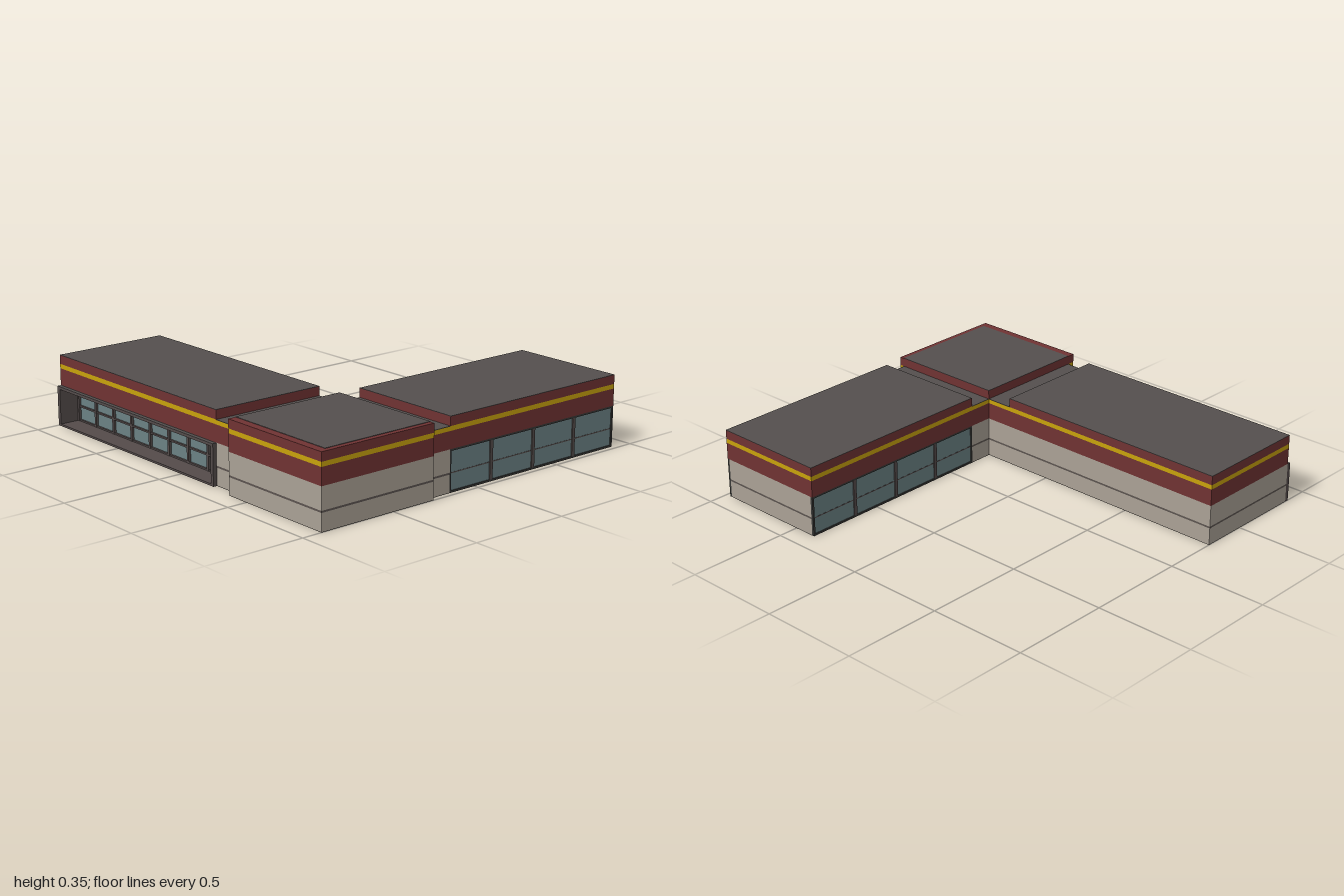
import * as THREE from 'three';

const mat = (color) => new THREE.MeshStandardMaterial({ color });
const M = {
  wall: mat(0xaaa195), seam: mat(0x5c5450), red: mat(0x703333), yellow: mat(0xc8a20c),
  roof: mat(0x544f4e), frame: mat(0x544b4a), trim: mat(0x383836), glass: mat(0x6b8184), base: mat(0x2a2826),
};

// Box given by its limits on each axis
function box(parent, name, m, [x0, x1], [y0, y1], [z0, z1]) {
  const mesh = new THREE.Mesh(new THREE.BoxGeometry(x1 - x0, y1 - y0, z1 - z0), m);
  mesh.position.set((x0 + x1) / 2, (y0 + y1) / 2, (z0 + z1) / 2);
  mesh.name = name;
  parent.add(mesh);
  return mesh;
}

function group(parent, name) {
  const g = new THREE.Group();
  g.name = name;
  parent.add(g);
  return g;
}

const SEAM = [0.085, 0.094], WALL_TOP = 0.2, BAND = [0.283, 0.305], TOP = 0.35;

// Masonry with one dark horizontal joint
function walls(g, x, z) {
  box(g, 'lowerWall', M.wall, x, [0.002, SEAM[0]], z);
  box(g, 'wallJoint', M.seam, x, SEAM, z);
  box(g, 'upperWall', M.wall, x, [SEAM[1], WALL_TOP], z);
}

// Red fascia with yellow stripe; the parapet is left off the low links
function fascia(g, x, z, high, roofX = x, roofZ = z) {
  const top = high ? TOP : BAND[1];
  box(g, 'fascia', M.red, x, [WALL_TOP, BAND[0]], z);
  box(g, 'stripe', M.yellow, x, [BAND[0], BAND[1] - (high ? 0 : 0.002)], z);
  if (high) box(g, 'parapet', M.red, x, [BAND[1], top - 0.002], z);
  box(g, 'roof', M.roof, roofX, [top - 0.002, top], roofZ);
}

function floor(g, x, z, m = M.base) {
  box(g, 'floor', m, x, [0, 0.002], z);
}

export function createModel() {
  const model = new THREE.Group();
  model.name = 'lShapedBuilding';

  // Corner block, its roof inset from the outer cladding
  const corner = group(model, 'cornerBlock');
  const cx = [0.38, 1], cz = [0.27, 0.9];
  walls(corner, cx, cz);
  fascia(corner, cx, cz, true, [0.38, 0.975], [0.27, 0.86]);
  floor(corner, cx, cz);

  // Low links between the corner and both wings
  for (const [name, x, z] of [
    ['frontLink', [0.24, 0.38], [0.27, 0.86]],
    ['rearLink', [0.38, 0.975], [0.15, 0.27]],
  ]) {
    const link = group(model, name);
    walls(link, x, z);
    fascia(link, x, z, false);
    floor(link, x, z);
  }

  // Front wing with a recessed shop window
  const front = group(model, 'frontWing');
  const glassZ = 0.77;
  walls(front, [-1, 0.24], [0.27, glassZ - 0.005]);
  walls(front, [-1, -0.99], [glassZ - 0.005, 0.86]);
  fascia(front, [-1, 0.24], [0.27, 0.86], true);
  floor(front, [-0.87, 0.24], [0.27, 0.86]);
  floor(front, [-1, -0.87], [0.27, 0.86], M.frame);

  const shop = group(front, 'shopWindow');
  box(shop, 'glazing', M.glass, [-0.98, 0.222], [0.01, 0.185], [glassZ - 0.005, glassZ]);
  box(shop, 'recessFloor', M.frame, [-0.99, 0.24], [0.002, 0.01], [glassZ - 0.005, 0.86]);
  box(shop, 'recessCeiling', M.frame, [-0.99, 0.24], [0.185, WALL_TOP], [glassZ - 0.005, 0.86]);
  box(shop, 'leftJamb', M.frame, [-0.99, -0.98], [0.01, 0.185], [glassZ - 0.005, 0.86]);
  box(shop, 'rightJamb', M.frame, [0.222, 0.24], [0.01, 0.185], [glassZ - 0.005, 0.86]);
  for (let i = 0; i <= 8; i++) {
    const x = -0.975 + i * 0.149;
    box(shop, 'mullion', M.frame, [x - 0.007, x + 0.007], [0.01, 0.185], [glassZ, glassZ + 0.012]);
  }
  for (const y of [0.013, 0.085, 0.181])
    box(shop, 'transom', M.frame, [-0.98, 0.222], [y - 0.004, y + 0.004], [glassZ, glassZ + 0.01]);

  // Projecting surround at the front
  const sz = [0.86, 0.88];
  box(shop, 'surroundSill', M.frame, [-1, 0.24], [0, 0.01], sz);
  box(shop, 'surroundHead', M.frame, [-1, 0.24], [0.184, 0.195], sz);
  for (const x of [[-1, -0.98], [0.222, 0.24]])
    box(shop, 'surroundPost', M.frame, x, [0.01, 0.184], sz);
  // Roof edge cover above the surround
  box(front, 'roofEdge', M.roof, [-1, 0.24], [0.195, 0.198], sz);

  // Rear wing, glazed along both long sides
  const rear = group(model, 'rearWing');
  const rx = [0.38, 0.975], rz = [-0.9, 0.15];
  walls(rear, [0.392, 0.963], [-0.9, 0.15]);
  fascia(rear, rx, rz, true);
  floor(rear, rx, rz);
  for (const [side, x0, x1, gx0, gx1] of [
    ['right', 0.963, 0.975, 0.963, 0.97],
    ['left', 0.38, 0.392, 0.385, 0.392],
  ]) {
    const win = group(rear, side + 'Windows');
    box(win, 'glazing', M.glass, [gx0, gx1], [0.008, 0.192], [-0.892, 0.142]);
    box(win, 'sill', M.trim, [x0, x1], [0.002, 0.009], rz);
    box(win, 'head', M.trim, [x0, x1], [0.191, WALL_TOP], rz);
    box(win, 'transom', M.frame, [gx0 - 0.001, gx1 + 0.001], [0.087, 0.092], [-0.892, 0.142]);
    // Wider posts between the four bays, slim ones at the ends
    for (const [z, w] of [[0.146, 0.004], [-0.105, 0.009], [-0.37, 0.009], [-0.635, 0.009], [-0.895, 0.005]])
      box(win, 'post', w > 0.006 ? M.frame : M.trim, [x0, x1], [0.009, 0.191], [z - w, z + w]);
  }
  return model;
}
